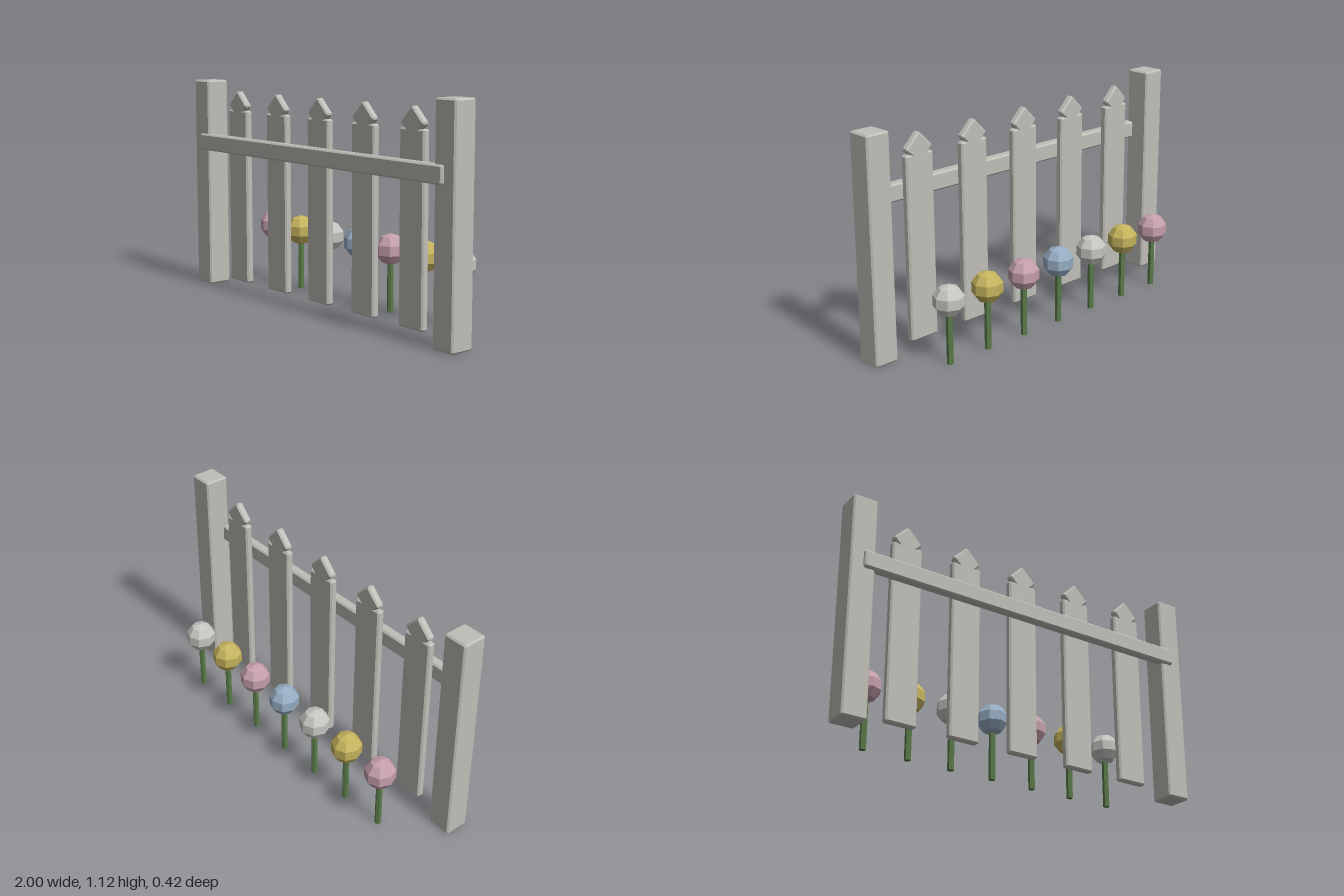
import * as THREE from 'three';
import { ConvexGeometry } from 'three/addons/geometries/ConvexGeometry.js';

function material(name, color, flat = false) {
  const m = new THREE.MeshStandardMaterial({ color });
  m.name = name;
  m.flatShading = flat;
  return m;
}

// Box with chamfered edges, centred on the origin
function chamferBox(w, h, d, c) {
  const points = [];
  for (const sx of [-1, 1]) for (const sy of [-1, 1]) for (const sz of [-1, 1]) {
    for (let axis = 0; axis < 3; axis++) {
      const inset = [c, c, c];
      inset[axis] = 0;
      points.push(new THREE.Vector3(
        sx * (w / 2 - inset[0]), sy * (h / 2 - inset[1]), sz * (d / 2 - inset[2])));
    }
  }
  return new ConvexGeometry(points);
}

export function createModel() {
  const model = new THREE.Group();
  model.name = 'fenceWithFlowers';

  const wood = material('weathered wood', 0xc0beb8, true);
  const green = material('stem green', 0x5a7b4a, true);
  const pink = material('pink petals', 0xc6a0ac, true);
  const yellow = material('yellow petals', 0xc6b45e, true);
  const white = material('white petals', 0xc6c6c2, true);
  const blue = material('blue petals', 0x97aec4, true);

  function add(parent, name, geometry, mat, x, y, z) {
    const mesh = new THREE.Mesh(geometry, mat);
    mesh.name = name;
    mesh.position.set(x, y, z);
    parent.add(mesh);
    return mesh;
  }

  // End posts
  const postGeo = chamferBox(0.128, 1.12, 0.128, 0.008);
  add(model, 'rightPost', postGeo, wood, -0.936, 0.56, 0.127);
  add(model, 'leftPost', postGeo, wood, 0.936, 0.56, 0.127);

  // Rail across the front
  add(model, 'rail', chamferBox(1.87, 0.088, 0.053, 0.008), wood, 0, 0.788, 0.182);

  // Pickets with diamond tips
  const boardGeo = chamferBox(0.162, 0.925, 0.04, 0.008);
  const tipGeo = chamferBox(0.113, 0.113, 0.04, 0.008);
  for (let i = -2; i <= 2; i++) {
    const picket = new THREE.Group();
    picket.name = 'picket';
    picket.position.set(i * 0.337, 0, 0.12);
    add(picket, 'picketBoard', boardGeo, wood, 0, 0.507, 0);
    add(picket, 'picketTip', tipGeo, wood, 0, 0.995, 0).rotation.z = Math.PI / 4;
    model.add(picket);
  }

  // Row of round flowers behind the fence
  const stemGeo = new THREE.CylinderGeometry(0.0165, 0.0165, 0.27, 6);
  const bloomGeo = new THREE.SphereGeometry(0.08, 8, 5);
  [pink, yellow, white, blue, pink, yellow, white].forEach((petals, i) => {
    const flower = new THREE.Group();
    flower.name = 'flower';
    flower.position.set((i - 3) * 0.24, 0, -0.134);
    add(flower, 'stem', stemGeo, green, 0, 0.135, 0);
    add(flower, 'bloom', bloomGeo, petals, 0, 0.321, 0);
    model.add(flower);
  });

  return model;
}
